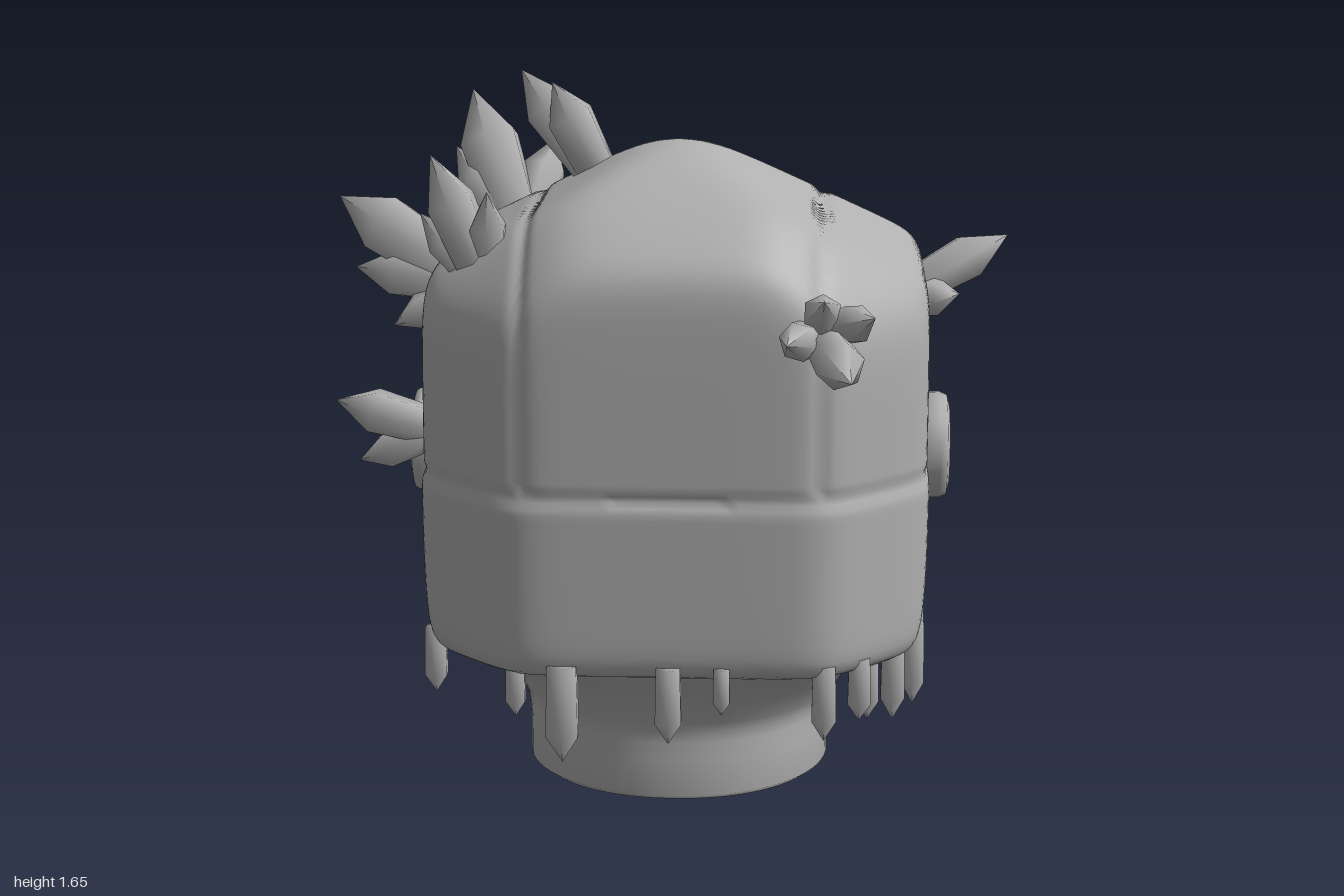
import * as THREE from 'three';
import { mergeVertices, mergeGeometries } from 'three/addons/utils/BufferGeometryUtils.js';
import { RoundedBoxGeometry } from 'three/addons/geometries/RoundedBoxGeometry.js';

const CX = 0.05; // the helmet sits slightly off centre

// Closed rounded hull: planes [nx, ny, nz, d] blended softly, mirrored in x about CX
function hull(planes, center, k, segs, relief = () => 0) {
  const all = planes.map(([x, y, z, d]) => {
    const l = Math.hypot(x, y, z);
    return [x / l, y / l, z / l, d / l];
  });
  const field = (x, y, z) => {
    let s = 0;
    for (const [a, b, c, d] of all) {
      s += Math.exp(k * (a * (x - CX) + b * y + c * z - d));
      if (a) s += Math.exp(k * (-a * (x - CX) + b * y + c * z - d));
    }
    return Math.log(s);
  };
  let geo = new THREE.SphereGeometry(1, segs, Math.round(segs * 0.6));
  geo.deleteAttribute('uv');
  geo.deleteAttribute('normal');
  geo = mergeVertices(geo, 1e-5);
  const pos = geo.attributes.position, v = new THREE.Vector3(), p = new THREE.Vector3();
  for (let i = 0; i < pos.count; i++) {
    v.fromBufferAttribute(pos, i).normalize();
    let lo = 0, hi = 2;
    for (let n = 0; n < 24; n++) {
      const m = (lo + hi) / 2;
      p.copy(center).addScaledVector(v, m);
      if (field(p.x, p.y, p.z) < 0) lo = m; else hi = m;
    }
    p.copy(center).addScaledVector(v, lo);
    p.addScaledVector(v, relief(p));
    pos.setXYZ(i, p.x, p.y, p.z);
  }
  geo.computeVertexNormals();
  return geo;
}

// Stack of superellipse rings: [y, half width, front z, back z, exponent]
function loft(rows, segs = 72) {
  const pts = [], index = [];
  rows.forEach(([y, hx, zf, zb, e], j) => {
    for (let i = 0; i < segs; i++) {
      const t = (i / segs) * Math.PI * 2, c = Math.cos(t), s = Math.sin(t);
      const f = (q) => Math.sign(q) * Math.abs(q) ** (2 / e);
      pts.push(CX + hx * f(c), y, (zf + zb) / 2 + ((zf - zb) / 2) * f(s));
      if (!j) continue;
      const a = (j - 1) * segs + i, b = (j - 1) * segs + ((i + 1) % segs);
      index.push(a, a + segs, b, b, a + segs, b + segs);
    }
  });
  const geo = new THREE.BufferGeometry();
  geo.setAttribute('position', new THREE.Float32BufferAttribute(pts, 3));
  geo.setIndex(index);
  geo.computeVertexNormals();
  return geo;
}

// Six-sided crystal with softened facets, from a base point to a tip
function crystal(base, tip, r, shoulder = 0.66, root = 0.8) {
  const a = new THREE.Vector3(...base), b = new THREE.Vector3(...tip);
  const dir = b.clone().sub(a), len = dir.length();
  const profile = [[0, 0], [root * r, 0], [r, shoulder * len], [0, len]].map((q) => new THREE.Vector2(...q));
  const geo = new THREE.LatheGeometry(profile, 6);
  geo.applyQuaternion(new THREE.Quaternion().setFromUnitVectors(new THREE.Vector3(0, 1, 0), dir.normalize()));
  return geo.translate(a.x, a.y, a.z);
}

export function createModel() {
  const model = new THREE.Group();
  model.name = 'crystalHelmet';
  const grey = new THREE.MeshStandardMaterial({ color: 0xb0b0b0 });
  grey.name = 'stone grey';
  const add = (name, geo, x = 0, y = 0, z = 0) => {
    const mesh = new THREE.Mesh(geo, grey);
    mesh.name = name;
    mesh.position.set(x, y, z);
    model.add(mesh);
    return mesh;
  };
  const V = (x, y, z) => new THREE.Vector3(x, y, z);
  const box = (name, w, h, d, x, y, z, r = 0.02) => add(name, new RoundedBoxGeometry(w, h, d, 3, r), x, y, z);

  // Shell, with raised chin guard and panel grooves
  const shellRelief = (p) => {
    const line = (d) => -0.01 * Math.exp(-((d / 0.014) ** 2));
    const dx = Math.abs(p.x - CX);
    let d = 0;
    if (p.z > 0.29 && p.y < 0.76) d += 0.006;
    if (p.z > 0.29) d += line(p.y - 0.76);
    if (p.y < 0.76) d += line(p.z - 0.29);
    if (p.y > 0.78) d += line(dx - 0.335);
    return d;
  };
  add('helmetShell', hull([
    [1, 0, 0, 0.585], [0, 0, 1, 0.795], [0, 1, 0, 1.52],
    [0.58, 1, 0, 1.555],                // roof sides
    [0, 1, -0.69, 1.37],                // rear roof slope
    [0, 1, 0.5, 1.745], [0, 1, 1, 2.065], // brow
    [1, 0, 1, 1.15], [1, 1, 1, 2.3],    // front corners
    [1, 0, -1, 0.785],                  // rear corners
    [0, 0, -1, 0.385], [0, -1, 0, -0.345],
    [1, -0.3, 0, 0.475],
  ], V(CX, 0.8, 0.2), 42, 240, shellRelief));

  // Rear block, protruding snout and the deck that carries the bar
  const sides = [[1, 0, 0, 0.572], [1, 0, -1, 0.785], [0, 0, 1, 0.1]];
  const under = [[0, -1, -0.9, 0.13], [0, -1, 0, -0.335], [1, -0.3, 0, 0.465]];
  add('rearBlock', hull([...sides, ...under, [0, 0, -1, 0.528], [0, 1, 0, 0.88]], V(CX, 0.6, -0.2), 60, 100));
  add('snout', hull([...under, [0, 0, 1, 0.1], [1, 0, -0.56, 0.52], [0, 0, -1, 0.615], [0, 1, -0.9, 1.2], [0.5, 1, 0, 0.79]],
    V(CX, 0.5, -0.25), 60, 100));
  add('rearDeck', hull([...sides, [0, 0, -1, 0.465], [0, -1, 0, -0.945], [0, 1, -0.69, 1.375], [0.58, 1, 0, 1.53]],
    V(CX, 1.02, -0.25), 90, 100));

  // Neck collar
  add('neck', loft([
    [0, 0.345, 0.6, -0.12, 2.1], [0.012, 0.36, 0.615, -0.135, 2.1], [0.1, 0.36, 0.61, -0.14, 2.1],
    [0.14, 0.365, 0.61, -0.17, 2.1], [0.165, 0.375, 0.61, -0.23, 2.1], [0.19, 0.39, 0.62, -0.3, 2.2],
    [0.24, 0.43, 0.645, -0.4, 2.2], [0.3, 0.485, 0.69, -0.48, 2.3], [0.345, 0.53, 0.745, -0.52, 2.5],
    [0.38, 0.545, 0.755, -0.52, 2.5],
  ]));
  add('neckBase', loft([[0, 0, 0.24, 0.24, 2.1], [0, 0.345, 0.6, -0.12, 2.1]]));

  // Ear discs
  const disc = [[0, 0], [0.13, 0], [0.13, 0.1], [0.122, 0.118], [0.1, 0.124], [0, 0.124]].map((q) => new THREE.Vector2(...q));
  for (const [side, x] of [[1, 0.576], [-1, -0.486]]) {
    const ear = add(side > 0 ? 'leftEarDisc' : 'rightEarDisc', new THREE.LatheGeometry(disc, 40), x, 0.73, 0.065);
    ear.rotation.z = -side * Math.PI / 2;
  }

  // Rear bar with its supports
  box('rearBar', 0.89, 0.11, 0.17, 0.045, 1.025, -0.55, 0.025);
  box('barSupport', 0.5, 0.13, 0.025, CX, 0.91, -0.475, 0.008);
  box('barLip', 0.72, 0.03, 0.05, CX, 0.955, -0.53, 0.01);

  // Vent slats on both rear corners
  for (const s of [1, -1]) {
    for (let i = 0; i < 4; i++) {
      const slat = box('ventSlat', 0.2, 0.018, 0.03, CX + s * 0.31, 0.5 + i * 0.05, -0.46, 0.006);
      slat.rotation.set(0, -s * Math.PI / 4, s * 0.12);
    }
  }

  // Crystal clusters: base, then [tip, radius] for each shard
  const clusters = {
    crownCrystals: [[-0.13, 1.39, 0.22], [[-0.33, 1.65, 0.15], 0.065], [[-0.25, 1.63, 0.23], 0.06]],
    roofCrystals: [[-0.36, 1.2, -0.1], [[-0.49, 1.56, -0.23], 0.08], [[-0.53, 1.42, -0.19], 0.06],
      [[-0.29, 1.43, -0.29], 0.06], [[-0.4, 1.27, -0.35], 0.05]],
    browCrystals: [[-0.37, 1.18, 0.52], [[-0.5, 1.5, 0.54], 0.06], [[-0.53, 1.36, 0.5], 0.045], [[-0.37, 1.42, 0.57], 0.045]],
    rightSideCrystals: [[-0.48, 1.07, -0.18], [[-0.85, 1.27, -0.34], 0.085], [[-0.8, 1.1, -0.26], 0.065], [[-0.69, 0.97, -0.15], 0.05]],
    rightCheekCrystals: [[-0.49, 0.83, 0.4], [[-0.75, 0.9, 0.4], 0.055], [[-0.7, 0.75, 0.38], 0.045]],
    leftSideCrystals: [[0.56, 1.08, 0], [[0.84, 1.23, -0.06], 0.06], [[0.72, 1.1, 0.04], 0.05]],
    frontCrystals: [[0.38, 1.13, 0.7], [[0.45, 1.08, 1.0], 0.055], [[0.31, 1.14, 0.9], 0.045],
      [[0.5, 1.2, 0.88], 0.045], [[0.39, 1.23, 0.86], 0.045]],
    barRightCrystals: [[-0.35, 0.98, -0.58], [[-0.48, 0.95, -1.0], 0.095], [[-0.4, 0.82, -0.82], 0.06], [[-0.37, 1.04, -0.86], 0.05]],
    barLeftCrystals: [[0.34, 1.0, -0.58], [[0.37, 1.04, -0.88], 0.06], [[0.46, 0.97, -0.72], 0.045]],
    leftVentCrystals: [[0.28, 0.57, -0.43], [[0.45, 0.52, -0.71], 0.065], [[0.42, 0.61, -0.56], 0.045], [[0.32, 0.47, -0.61], 0.045]],
    rightVentCrystals: [[-0.15, 0.5, -0.46], [[-0.25, 0.46, -0.67], 0.05]],
  };
  for (const [name, [base, ...shards]] of Object.entries(clusters)) {
    add(name, mergeGeometries(shards.map(([tip, r]) => crystal(base, tip, r))));
  }

  // Icicles under the chin rim: x, z, tip y, radius
  const icicles = [
    [-0.51, 0.5, 0.22, 0.03], [-0.3, 0.73, 0.24, 0.026], [-0.19, 0.78, 0.15, 0.042], [0.05, 0.79, 0.2, 0.034],
    [0.17, 0.79, 0.27, 0.022], [0.4, 0.75, 0.2, 0.032], [0.48, 0.69, 0.23, 0.03], [0.5, 0.62, 0.21, 0.03],
    [0.56, 0.53, 0.18, 0.032], [0.61, 0.41, 0.18, 0.031], [0.615, 0.29, 0.2, 0.029],
  ];
  add('chinIcicles', mergeGeometries(icicles.map(([x, z, y, r]) => crystal([x, 0.38, z], [x, y, z], r, 0.72, 0.92))));
  return model;
}
